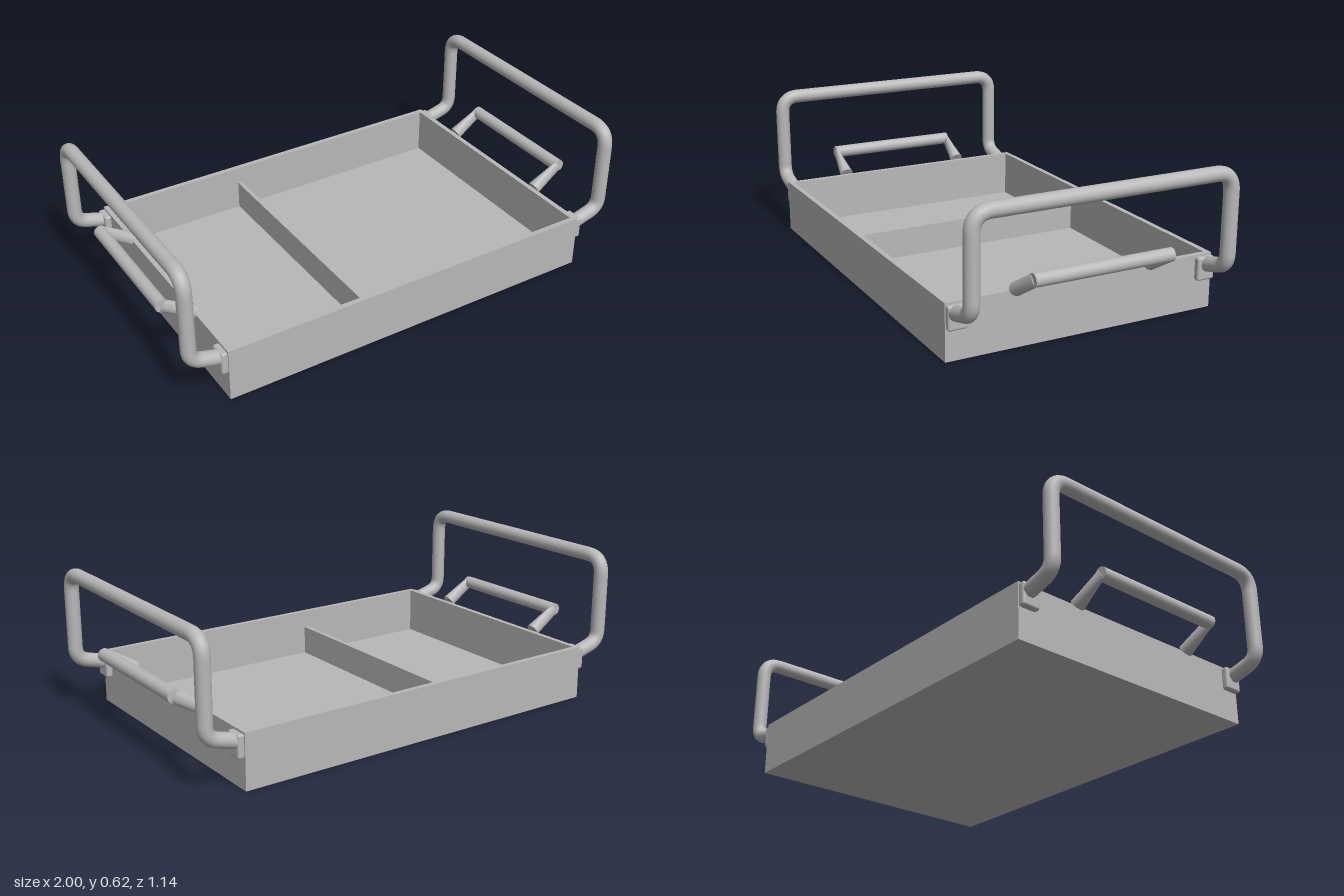
import * as THREE from 'three';
import { RoundedBoxGeometry } from 'three/addons/geometries/RoundedBoxGeometry.js';

const grey = new THREE.MeshStandardMaterial({ color: 0xb8b8b8 });
grey.name = 'grey metal';

const W = 0.83, D = 0.572, H = 0.225, BASE = 0.025, WALL = 0.022;

function add(parent, name, geometry, x = 0, y = 0, z = 0) {
  const mesh = new THREE.Mesh(geometry, grey);
  mesh.name = name;
  mesh.position.set(x, y, z);
  parent.add(mesh);
  return mesh;
}

// Straight runs joined by rounded corners; each point is [x, y, z, corner size]
function roundedPath(points) {
  const path = new THREE.CurvePath();
  const p = points.map(([x, y, z]) => new THREE.Vector3(x, y, z));
  let from = p[0];
  for (let i = 1; i < p.length - 1; i++) {
    const toward = (q) => p[i].clone().add(q.clone().sub(p[i]).setLength(points[i][3]));
    const a = toward(p[i - 1]), b = toward(p[i + 1]);
    path.add(new THREE.LineCurve3(from, a));
    path.add(new THREE.QuadraticBezierCurve3(a, p[i], b));
    from = b;
  }
  path.add(new THREE.LineCurve3(from, p[p.length - 1]));
  return path;
}

function makeTray() {
  const tray = new THREE.Group();
  tray.name = 'tray';
  add(tray, 'base', new THREE.BoxGeometry(2 * W, BASE, 2 * D), 0, BASE / 2, 0);

  // Four walls as one rim with a rectangular opening
  const rect = (w, d, path) => path.moveTo(-w, -d).lineTo(w, -d).lineTo(w, d).lineTo(-w, d).closePath();
  const rim = new THREE.Shape();
  rect(W, D, rim);
  const opening = new THREE.Path();
  rect(W - WALL, D - WALL, opening);
  rim.holes.push(opening);
  const walls = new THREE.ExtrudeGeometry(rim, { depth: H - BASE, bevelEnabled: false });
  walls.rotateX(-Math.PI / 2);
  add(tray, 'walls', walls, 0, BASE, 0);

  const dividerTop = 0.15;
  add(tray, 'divider', new THREE.BoxGeometry(0.018, dividerTop - BASE, 2 * (D - WALL)),
    -0.185, (dividerTop + BASE) / 2, 0);
  return tray;
}

// Handles for the +x end
function makeEnd(name) {
  const end = new THREE.Group();
  end.name = name;

  // Tall outer handle
  const z = 0.538;
  const path = roundedPath([
    [0.835, 0.185, z], [0.97, 0.222, z, 0.05], [0.97, 0.59, z, 0.075],
    [0.97, 0.59, -z, 0.075], [0.97, 0.222, -z, 0.05], [0.835, 0.185, -z],
  ]);
  add(end, 'outerHandle', new THREE.TubeGeometry(path, 180, 0.03, 20));

  // Low inner handle bar
  const barX = 0.955, barY = 0.303, barZ = 0.292, r = 0.027;
  const bar = new THREE.CylinderGeometry(r, r, 2 * barZ, 20);
  bar.rotateX(Math.PI / 2);
  add(end, 'innerHandleBar', bar, barX, barY, 0);

  const dx = barX - 0.829, dy = barY - 0.228;
  const length = Math.hypot(dx, dy);
  for (const s of [1, -1]) {
    // Mounting plate
    add(end, 'bracket', new RoundedBoxGeometry(0.03, 0.095, 0.077, 3, 0.01), 0.842, 0.172, s * 0.532);

    // Leg narrows sideways toward the bar but keeps its depth
    const leg = new THREE.CylinderGeometry(r, r, length, 20, 1);
    const pos = leg.attributes.position;
    for (let i = 0; i < pos.count; i++) {
      const t = pos.getY(i) / length + 0.5;
      pos.setZ(i, pos.getZ(i) * (1.12 - 0.82 * t));
    }
    leg.computeVertexNormals();
    leg.rotateZ(Math.atan2(dy, dx) - Math.PI / 2);
    add(end, 'innerHandleLeg', leg, barX - dx / 2, barY - dy / 2, s * 0.287);
  }
  return end;
}

export function createModel() {
  const model = new THREE.Group();
  model.name = 'servingTray';
  const left = makeEnd('leftHandles');
  const right = makeEnd('rightHandles');
  right.rotation.y = Math.PI;
  model.add(makeTray(), left, right);
  return model;
}
